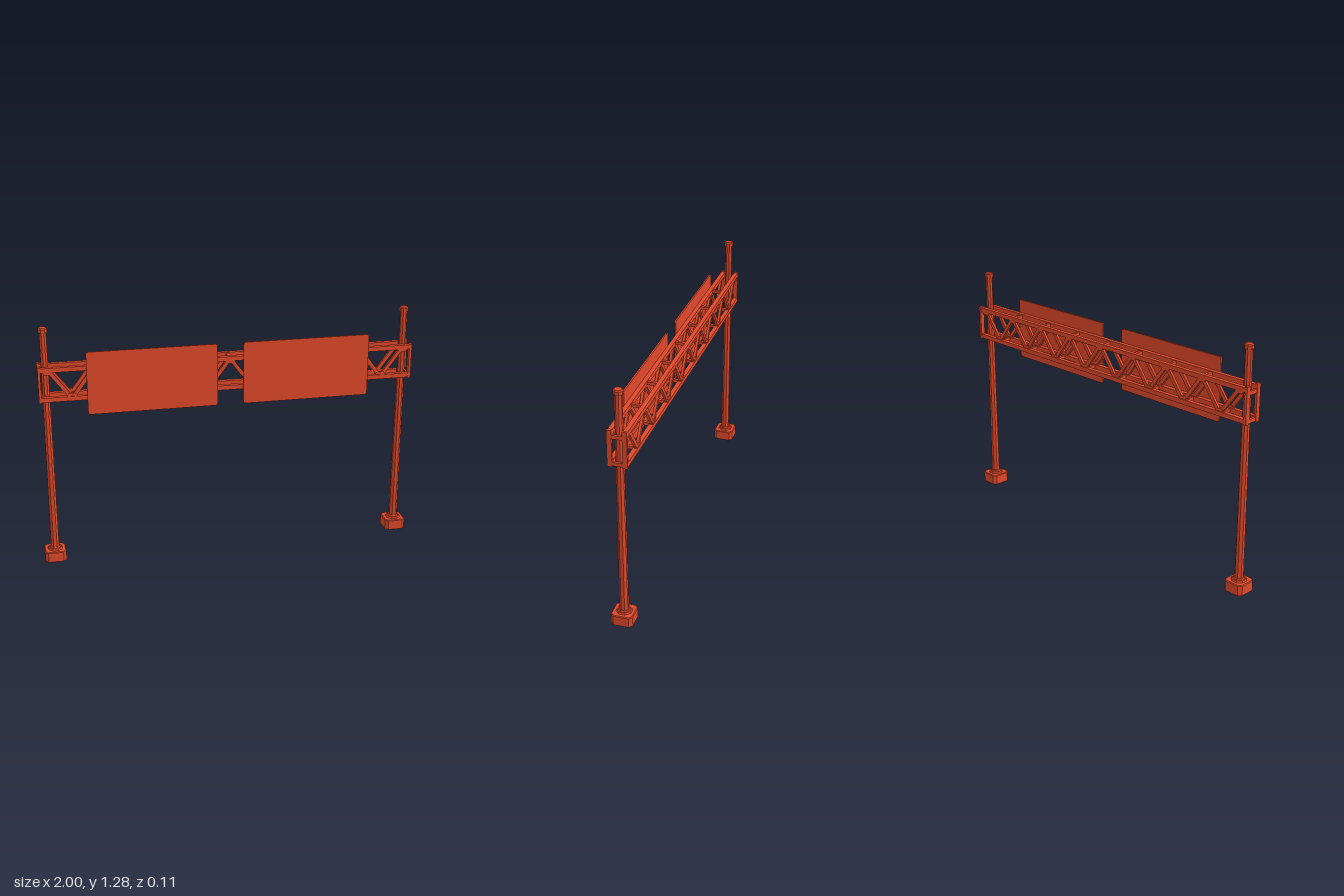
import * as THREE from 'three';

const material = new THREE.MeshStandardMaterial({ color: 0xe0482a, flatShading: true });

function add(parent, name, geometry, x = 0, y = 0, z = 0) {
  const mesh = new THREE.Mesh(geometry, material);
  mesh.name = name;
  mesh.position.set(x, y, z);
  parent.add(mesh);
  return mesh;
}

const box = (w, h, d) => new THREE.BoxGeometry(w, h, d);

// Octagonal prism; radii are measured to the flats
function octagon(top, bottom, height) {
  const k = 1 / Math.cos(Math.PI / 8);
  return new THREE.CylinderGeometry(top * k, bottom * k, height, 8).rotateY(Math.PI / 8);
}

// Rectangle with cut or rounded corners
function plateShape(w, h, r, round) {
  const s = new THREE.Shape();
  const x = w / 2, y = h / 2;
  const corner = (cx, cy, ex, ey) => round ? s.quadraticCurveTo(cx, cy, ex, ey) : s.lineTo(ex, ey);
  s.moveTo(-x + r, -y);
  s.lineTo(x - r, -y); corner(x, -y, x, -y + r);
  s.lineTo(x, y - r); corner(x, y, x - r, y);
  s.lineTo(-x + r, y); corner(-x, y, -x, y - r);
  s.lineTo(-x, -y + r); corner(-x, -y, -x + r, -y);
  return s;
}

function createPole(side) {
  const pole = new THREE.Group();
  pole.name = side > 0 ? 'leftPole' : 'rightPole';
  pole.position.x = side * 0.944;
  // Concrete foot with chamfered corners and top edge
  const foot = new THREE.ExtrudeGeometry(plateShape(0.104, 0.104, 0.014, false), {
    depth: 0.052, bevelEnabled: true, bevelThickness: 0.004, bevelSize: 0.004, bevelSegments: 1,
  }).rotateX(-Math.PI / 2);
  add(pole, 'foot', foot, 0, 0.004, 0);
  add(pole, 'basePlate', octagon(0.034, 0.038, 0.008), 0, 0.064, 0);
  add(pole, 'baseCollar', octagon(0.025, 0.029, 0.008), 0, 0.071, 0);
  add(pole, 'shaft', octagon(0.0175, 0.0215, 1.19), 0, 0.66, 0);
  add(pole, 'cap', octagon(0.023, 0.023, 0.018), 0, 1.264, 0);
  add(pole, 'capTop', octagon(0.018, 0.023, 0.006), 0, 1.276, 0);
  return pole;
}

function createTruss() {
  const truss = new THREE.Group();
  truss.name = 'truss';
  const low = 0.912, high = 1.068, zc = 0.037, step = 0.1165;

  for (const z of [-zc, zc]) {
    // Long chords
    for (const y of [low, high]) add(truss, 'chord', box(1.95, 0.024, 0.023), 0, y, z);
    // Zigzag braces between neighbouring nodes
    for (let i = -8; i < 8; i++) {
      const y0 = i % 2 ? low : high, y1 = i % 2 ? high : low;
      const brace = add(truss, 'brace', box(Math.hypot(step, y1 - y0), 0.02, 0.014),
        (i + 0.5) * step, (low + high) / 2, z);
      brace.rotation.z = Math.atan2(y1 - y0, step);
    }
    // Tapered gussets where braces meet the chords
    for (let i = -8; i <= 8; i++) {
      const d = i % 2 ? 1 : -1;
      const s = new THREE.Shape();
      s.moveTo(-0.034, 0);
      s.lineTo(0.034, 0);
      s.lineTo(0.018, d * 0.026);
      s.lineTo(-0.018, d * 0.026);
      s.closePath();
      const gusset = new THREE.ExtrudeGeometry(s, { depth: 0.016, bevelEnabled: false });
      add(truss, 'gusset', gusset, i * step, i % 2 ? low : high, z - 0.008);
    }
    // End uprights
    for (const x of [-0.976, 0.976]) add(truss, 'endUpright', box(0.014, 0.19, 0.024), x, 0.99, z);
  }

  // Cross ties from the front frame to the back frame
  for (let i = -8; i <= 8; i++) {
    if (Math.abs(i) < 8) add(truss, 'crossTie', box(0.016, 0.016, 0.06), i * step, i % 2 ? low : high, 0);
  }
  for (const x of [-0.975, 0.975]) {
    for (const y of [0.91, 1.05]) add(truss, 'endTie', box(0.012, 0.02, 0.06), x, y, 0);
  }
  return truss;
}

export function createModel() {
  const model = new THREE.Group();
  model.name = 'signGantry';
  model.add(createPole(-1), createPole(1), createTruss());
  // Blank sign boards on the front chords
  const board = new THREE.ExtrudeGeometry(plateShape(0.672, 0.332, 0.014, true), {
    depth: 0.008, bevelEnabled: false, curveSegments: 4,
  });
  for (const side of [-1, 1]) add(model, 'signBoard', board, side * 0.404, 0.988, 0.048);
  return model;
}
